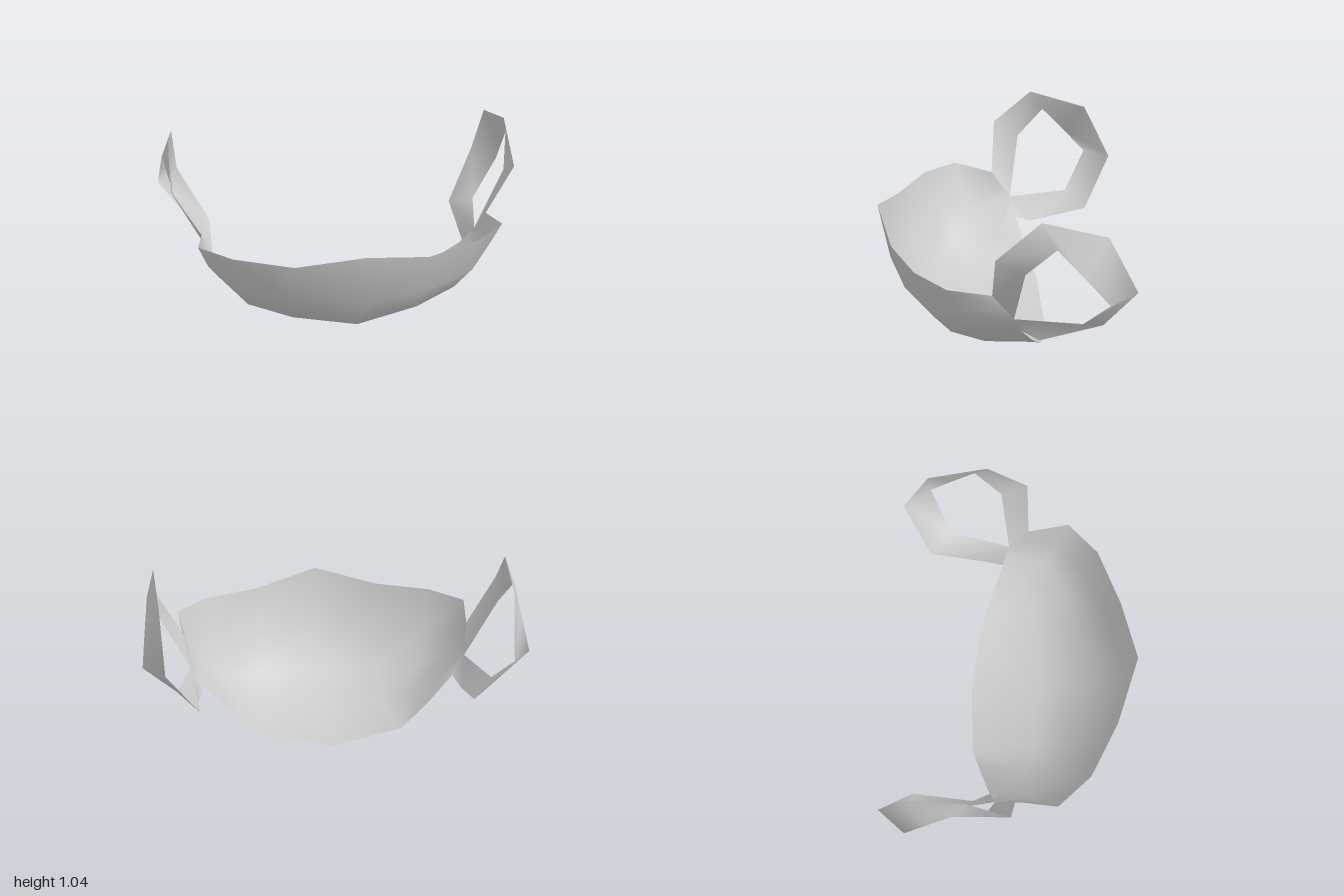
import * as THREE from 'three';
import { mergeVertices } from 'three/addons/utils/BufferGeometryUtils.js';

const fabric = new THREE.MeshStandardMaterial({ color: 0xcccccc, side: THREE.DoubleSide });
fabric.name = 'greyFabric';

// Smooth sheet through a list of cross-sections with equal point counts
function loft(sections) {
  const n = sections[0].length;
  const index = [];
  for (let i = 0; i < sections.length - 1; i++) {
    for (let j = 0; j < n - 1; j++) {
      const a = i * n + j, b = a + 1, c = b + n, d = a + n;
      index.push(a, b, c, a, c, d);
    }
  }
  const geometry = new THREE.BufferGeometry();
  geometry.setAttribute('position', new THREE.Float32BufferAttribute(sections.flat(2), 3));
  geometry.setIndex(index);
  const merged = mergeVertices(geometry, 1e-4);
  merged.computeVertexNormals();
  return merged;
}

// Mirrored sections run in reverse so the faces keep pointing outwards
const mirror = (sections) =>
  sections.map((s) => s.map(([x, y, z]) => [-x, y, z])).reverse();

function addMesh(group, name, sections) {
  const mesh = new THREE.Mesh(loft(sections), fabric);
  mesh.name = name;
  group.add(mesh);
}

// Cup columns from the centre line to the side, each from top edge to chin edge
const centre = [[0, 0.72, 0.67], [0, 0.4, 0.61], [0, 0.165, 0.42], [0, 0.02, 0.14], [0, 0, -0.25]];
const leftColumns = [
  [[0.35, 0.64, 0.575], [0.36, 0.4, 0.51], [0.34, 0.2, 0.35], [0.33, 0.065, 0.13], [0.38, 0.07, -0.22]],
  [[0.65, 0.64, 0.44], [0.64, 0.42, 0.37], [0.57, 0.25, 0.26], [0.5, 0.15, 0.08], [0.47, 0.13, -0.185]],
  [[0.82, 0.63, 0.27], [0.77, 0.48, 0.22], [0.71, 0.36, 0.14], [0.62, 0.26, 0], [0.55, 0.195, -0.155]],
  [[0.79, 0.58, 0.045], [0.775, 0.505, -0.01], [0.76, 0.43, -0.065], [0.725, 0.378, -0.083], [0.69, 0.325, -0.1]],
];

// Ear loop sections: outer edge, inner edge
const earLoop = [
  [[0.79, 0.58, 0.045], [0.76, 0.43, -0.065]],
  [[0.94, 0.85, 0.03], [0.925, 0.765, -0.115]],
  [[0.93, 1.045, -0.19], [0.968, 0.92, -0.265]],
  [[0.905, 0.955, -0.515], [0.985, 0.775, -0.4]],
  [[0.885, 0.645, -0.67], [1, 0.635, -0.525]],
  [[0.72, 0.37, -0.52], [0.835, 0.44, -0.405]],
  [[0.725, 0.285, -0.195], [0.76, 0.43, -0.065]],
  [[0.69, 0.325, -0.1], [0.76, 0.43, -0.065]],
];

export function createModel() {
  const group = new THREE.Group();
  group.name = 'faceMask';
  addMesh(group, 'maskCup', [...mirror(leftColumns), centre, ...leftColumns]);
  addMesh(group, 'leftEarLoop', earLoop);
  addMesh(group, 'rightEarLoop', mirror(earLoop));
  return group;
}
